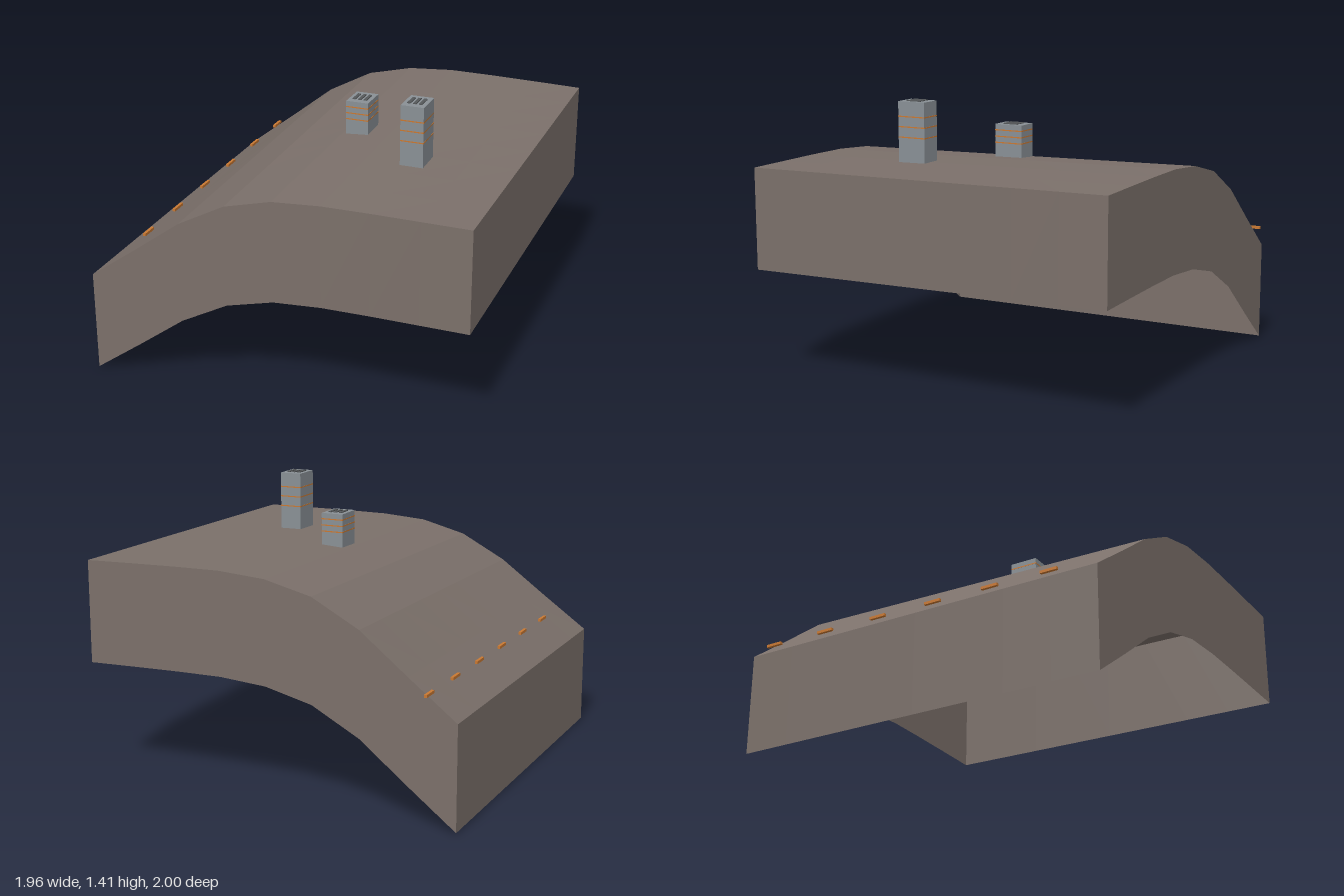
import * as THREE from 'three';

const X = [-0.98, -0.735, -0.49, -0.245, 0, 0.245, 0.49, 0.735, 0.98];
const FRONT = [0.53, 0.705, 0.885, 1.015, 1.078, 1.095, 1.097, 1.096, 1.095];
const BACK = [0.54, 0.73, 0.925, 1.057, 1.117, 1.135, 1.133, 1.128, 1.122];
const Z0 = 1.0, Z1 = -0.96, DEPTH = 0.522;

// Ground height at column i, t running from front (0) to back (1)
const heightAt = (i, t) => THREE.MathUtils.lerp(FRONT[i], BACK[i], t);

function groundY(x, z) {
  const f = THREE.MathUtils.clamp((x + 0.98) / 0.245, 0, 7.999);
  const i = Math.floor(f), t = (z - Z0) / (Z1 - Z0);
  return THREE.MathUtils.lerp(heightAt(i, t), heightAt(i + 1, t), f - i);
}

// Surface from a grid of points: point(i, j) for i in 0..nu, j in 0..nv
function gridSurface(nu, nv, point) {
  const pos = [], idx = [];
  for (let j = 0; j <= nv; j++) for (let i = 0; i <= nu; i++) pos.push(...point(i, j));
  for (let j = 0; j < nv; j++) for (let i = 0; i < nu; i++) {
    const a = j * (nu + 1) + i, b = a + 1, c = a + nu + 1, d = c + 1;
    idx.push(a, b, d, a, d, c);
  }
  const g = new THREE.BufferGeometry();
  g.setAttribute('position', new THREE.Float32BufferAttribute(pos, 3));
  g.setIndex(idx);
  const flat = g.toNonIndexed();
  flat.computeVertexNormals();
  return flat;
}

export function createModel() {
  const model = new THREE.Group();
  model.name = 'terrainTile';
  const mat = (name, color, side = THREE.FrontSide) => {
    const m = new THREE.MeshStandardMaterial({ color, side });
    m.name = name;
    return m;
  };
  const earth = mat('earth', 0x7b706a, THREE.DoubleSide);
  const steel = mat('steel', 0x899095);
  const dark = mat('ventGrey', 0x55585a);
  const orange = mat('orange', 0xc87832);

  const add = (parent, name, geometry, material, x = 0, y = 0, z = 0) => {
    const m = new THREE.Mesh(geometry, material);
    m.name = name;
    m.position.set(x, y, z);
    parent.add(m);
    return m;
  };

  // Hillside and its open-bottomed skirt
  const zAt = t => THREE.MathUtils.lerp(Z0, Z1, t);
  add(model, 'hillSurface', gridSurface(8, 8, (i, j) => [X[i], heightAt(i, j / 8), zAt(j / 8)]), earth);
  add(model, 'frontWall', gridSurface(8, 1, (i, j) => [X[i], FRONT[i] - DEPTH * (1 - j), Z0]), earth);
  add(model, 'backWall', gridSurface(8, 1, (i, j) => [X[8 - i], BACK[8 - i] - DEPTH * (1 - j), Z1]), earth);
  add(model, 'leftWall', gridSurface(8, 1, (i, j) => [X[8], heightAt(8, i / 8) - DEPTH * (1 - j), zAt(i / 8)]), earth);
  add(model, 'rightWall', gridSurface(8, 1, (i, j) => [X[0], heightAt(0, 1 - i / 8) - DEPTH * (1 - j), zAt(1 - i / 8)]), earth);

  // Vent towers with bands and roof slots
  const tower = (name, x, z, top, bands) => {
    const g = new THREE.Group();
    g.name = name;
    model.add(g);
    const w = 0.118, d = 0.153, base = 1.085;
    add(g, 'shaft', new THREE.BoxGeometry(w, top - base, d), steel, x, (top + base) / 2, z);
    for (const y of bands) add(g, 'band', new THREE.BoxGeometry(w + 0.002, 0.006, d + 0.002), orange, x, y, z);
    for (const k of [-1, 0, 1]) add(g, 'roofSlot', new THREE.BoxGeometry(0.016, 0.006, 0.08), dark, x + k * 0.03, top + 0.002, z);
  };
  tower('shortTower', 0.08, 0.02, 1.275, [1.18, 1.212, 1.245]);
  tower('tallTower', 0.487, 0.347, 1.416, [1.235, 1.288, 1.34]);

  // Row of marker bars along the lower slope
  for (let k = 0; k < 6; k++) {
    const z = -0.955 + k * 0.325;
    add(model, 'markerBar', new THREE.BoxGeometry(0.015, 0.014, 0.09), orange, -0.837, groundY(-0.837, z) + 0.013, z);
  }
  return model;
}
